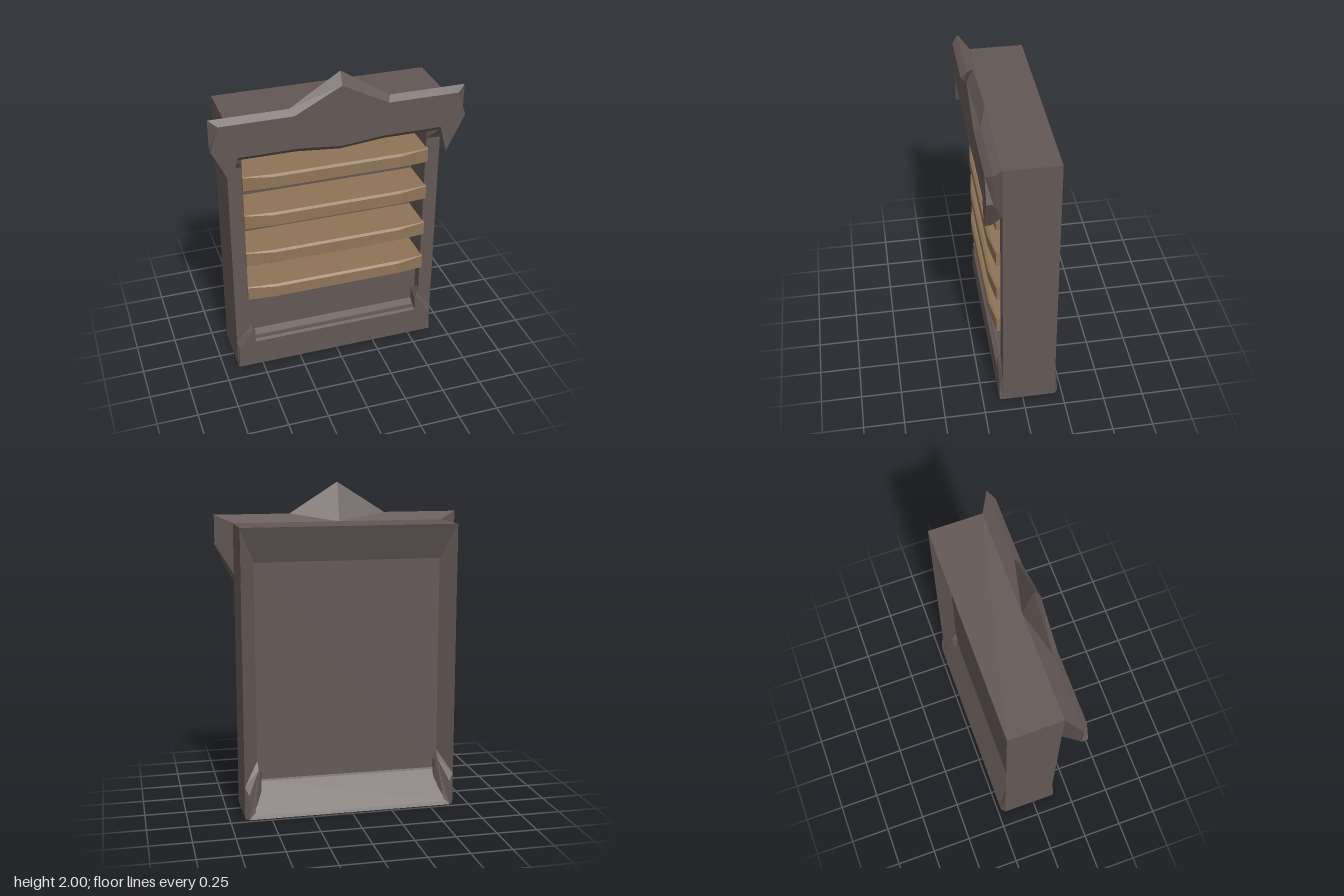
import * as THREE from 'three';

const V2 = THREE.Vector2;

// Mirrors a right-hand half outline, listed from bottom centre to top centre, into a full ring.
function mirrored(half) {
  const left = half.slice(1, -1).reverse().map(([x, ...rest]) => [-x, ...rest]);
  return [...half, ...left];
}

const flipped = (ring) => ring.map(([x, y, z]) => [-x, y, z]).reverse();
const atZ = (points, z) => points.map(([x, y]) => [x, y, z]);
const rect = (x, y0, y1, z) => [[-x, y0, z], [x, y0, z], [x, y1, z], [-x, y1, z]];
const gap = (a, b) => Math.hypot(a[0] - b[0], a[1] - b[1], a[2] - b[2]);

// Skins a list of anticlockwise rings and caps both ends, with flat facets.
function loft(rings) {
  const pos = [];
  const tri = (a, b, c) => pos.push(...a, ...b, ...c);
  for (let r = 0; r < rings.length - 1; r++) {
    const lower = rings[r], upper = rings[r + 1], n = lower.length;
    for (let i = 0; i < n; i++) {
      const a = lower[i], b = lower[(i + 1) % n], c = upper[(i + 1) % n], d = upper[i];
      // Splitting along the shorter diagonal keeps both halves symmetrical
      if (gap(a, c) < gap(b, d)) {
        tri(a, b, c);
        tri(a, c, d);
      } else {
        tri(a, b, d);
        tri(b, c, d);
      }
    }
  }
  const cap = (ring, flip) => {
    const faces = THREE.ShapeUtils.triangulateShape(ring.map(([x, y]) => new V2(x, y)), []);
    for (const [a, b, c] of faces) {
      if (flip) tri(ring[a], ring[c], ring[b]);
      else tri(ring[a], ring[b], ring[c]);
    }
  };
  cap(rings[0], true);
  cap(rings[rings.length - 1], false);
  const geometry = new THREE.BufferGeometry();
  geometry.setAttribute('position', new THREE.Float32BufferAttribute(pos, 3));
  geometry.computeVertexNormals();
  return geometry;
}

export function createModel() {
  const group = new THREE.Group();
  const darkWood = new THREE.MeshStandardMaterial({ color: 0x635755 });
  darkWood.name = 'darkWood';
  const lightWood = new THREE.MeshStandardMaterial({ color: 0x8f7457 });
  lightWood.name = 'lightWood';

  const add = (name, geometry, material) => {
    const mesh = new THREE.Mesh(geometry, material);
    mesh.name = name;
    group.add(mesh);
    return mesh;
  };

  // Case: bevelled back recess, outer walls, front frame and deep shelf recess
  add('case', loft([
    rect(0.57, 0.22, 1.55, -0.125),
    rect(0.658, 0, 1.762, -0.203),
    rect(0.658, 0, 1.762, 0.125),
    rect(0.57, 0.2, 1.535, 0.125),
    rect(0.57, 0.2, 1.535, -0.09),
  ]), darkWood);

  // Panel closing the recess below the lowest shelf
  add('lowerPanel', loft([rect(0.57, 0.2, 0.56, -0.09), rect(0.57, 0.2, 0.56, 0.06)]), darkWood);

  // Header: peaked crown flaring out from the case, with a bevelled rim
  const headerBack = [[0, 1.51], [0.27, 1.535], [0.57, 1.535], [0.57, 1.45], [0.655, 1.45],
    [0.655, 1.63], [0.655, 1.762], [0.3, 1.762], [0, 1.762]];
  const headerRim = [[0, 1.51], [0.27, 1.535], [0.57, 1.535], [0.62, 1.535], [0.655, 1.405],
    [0.765, 1.63], [0.765, 1.81], [0.3, 1.81], [0, 2]];
  const headerFront = [[0, 1.545], [0.25, 1.57], [0.59, 1.57], [0.612, 1.57], [0.655, 1.405],
    [0.765, 1.63], [0.715, 1.778], [0.28, 1.778], [0, 1.925]];
  add('header', loft([
    atZ(mirrored(headerBack), 0.125),
    atZ(mirrored(headerRim), 0.19),
    atZ(mirrored(headerFront), 0.227),
  ]), darkWood);

  // Front plinth with raised corner braces
  const plinthBase = [[0, 0, 0.12], [0.658, 0, 0.12], [0.658, 0.19, 0.12], [0.57, 0.34, 0.1],
    [0.545, 0.3, 0.06], [0.545, 0.22, 0.06], [0, 0.22, 0.06]];
  const plinthFace = [[0, 0], [0.656, 0], [0.645, 0.13], [0.55, 0.285], [0.541, 0.27],
    [0.541, 0.18], [0, 0.18]];
  add('frontPlinth', loft([mirrored(plinthBase), atZ(mirrored(plinthFace), 0.145)]), darkWood);

  // Back sill and corner braces, following the slope of the recess
  const sill = add('backSill', loft([
    [...rect(0.64, 0, 0, 0.2).slice(0, 2), ...rect(0.56, 0.215, 0.215, 0.126).slice(2)],
    [...rect(0.63, 0, 0, 0.227).slice(0, 2), ...rect(0.62, 0.02, 0.02, 0.218).slice(2)],
  ]), darkWood);
  sill.rotation.y = Math.PI;
  const braceBase = [[0.6, 0, 0.19], [0.658, 0, 0.203], [0.658, 0.2, 0.2], [0.57, 0.34, 0.122],
    [0.545, 0.29, 0.12], [0.545, 0.1, 0.15]];
  const braceFace = [[0.6, 0, 0.22], [0.632, 0, 0.226], [0.632, 0.15, 0.215], [0.565, 0.29, 0.16],
    [0.555, 0.27, 0.155], [0.59, 0.08, 0.2]];
  const braces = {
    backBraceRight: [braceBase, braceFace],
    backBraceLeft: [flipped(braceBase), flipped(braceFace)],
  };
  for (const [name, rings] of Object.entries(braces)) {
    add(name, loft(rings), darkWood).rotation.y = Math.PI;
  }

  // Shelves: boards with a bowed front, chamfered along the middle
  const section = (x, front, chamfer, drop) => atZ([[-front, -0.047 + drop],
    [-front + chamfer, -0.047], [0.095, -0.047], [0.095, 0.047],
    [-front + chamfer, 0.047], [-front, 0.047 - drop]], x);
  const shelfGeometry = loft([
    section(-0.575, 0.15, 0.004, 0.003),
    section(-0.4, 0.175, 0.015, 0.011),
    section(0.4, 0.175, 0.015, 0.011),
    section(0.575, 0.15, 0.004, 0.003),
  ]);
  [0.565, 0.82, 1.085, 1.345].forEach((y, i) => {
    const shelf = add(`shelf${i + 1}`, shelfGeometry, lightWood);
    shelf.position.y = y;
    shelf.rotation.y = Math.PI / 2;
  });

  return group;
}
